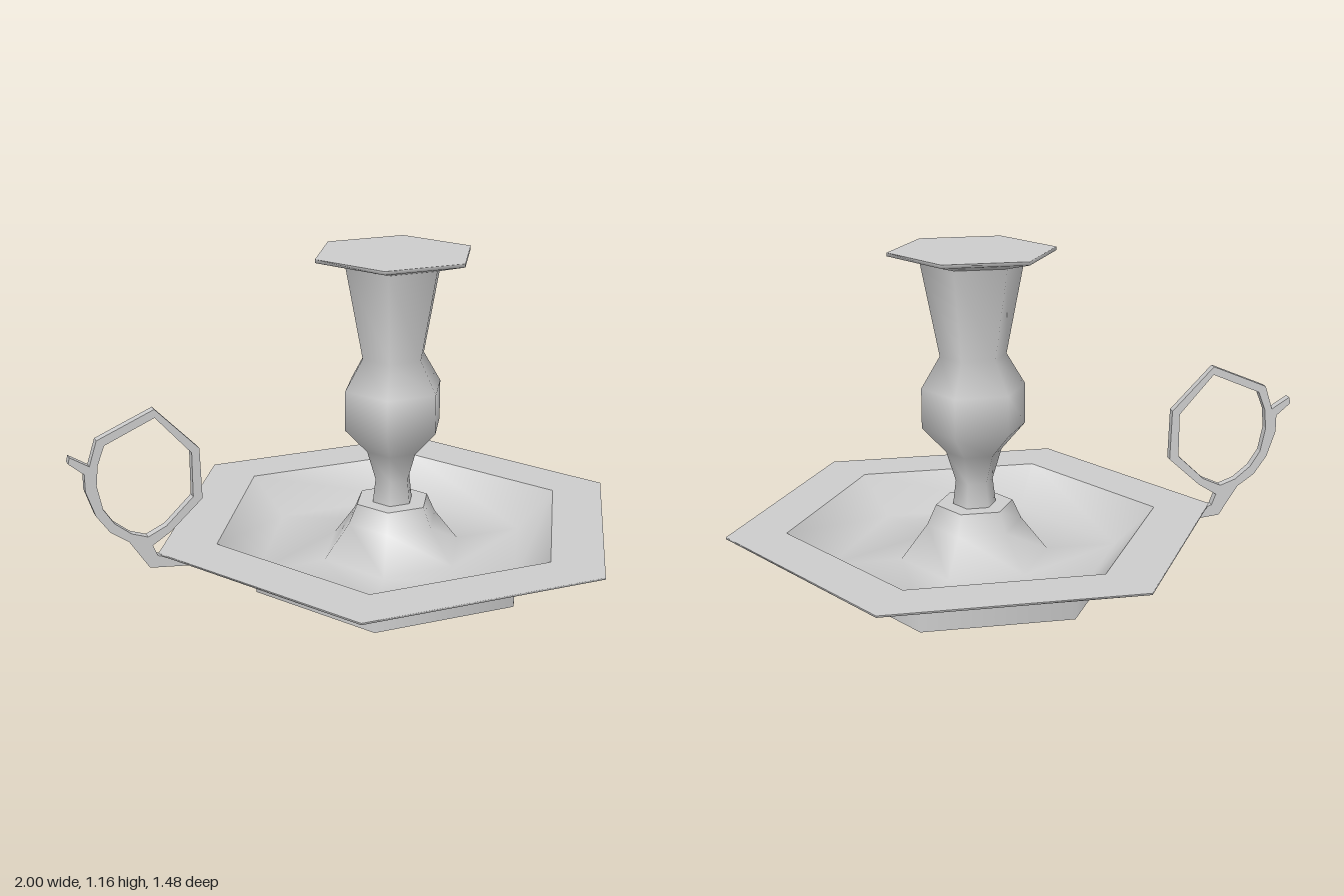
import * as THREE from 'three';

const material = new THREE.MeshStandardMaterial({ color: 0xcccccc, side: THREE.DoubleSide });
const AXIS_X = 0.143;

// Six-sided turned surface with corners on the x axis; profile is [radius, height], outside going up
function hexLathe(name, profile) {
  const points = profile.map(([r, y]) => new THREE.Vector2(r, y));
  const mesh = new THREE.Mesh(new THREE.LatheGeometry(points, 6, Math.PI / 2), material);
  mesh.name = name;
  mesh.position.x = AXIS_X;
  return mesh;
}

const toPoints = (list) => list.map(([x, y]) => new THREE.Vector2(x, y));

// Flat finger ring with thumb spur and a foot tucked under the tray
function createHandle() {
  const shape = new THREE.Shape(toPoints([
    [-0.71, 0.717], [-0.905, 0.635], [-0.932, 0.55], [-0.995, 0.59], [-1, 0.568],
    [-0.95, 0.525], [-0.95, 0.465], [-0.92, 0.375], [-0.875, 0.31], [-0.815, 0.268],
    [-0.748, 0.163], [-0.56, 0.143], [-0.72, 0.203], [-0.735, 0.242],
    [-0.67, 0.283], [-0.558, 0.385], [-0.563, 0.563],
  ]));
  shape.holes.push(new THREE.Path(toPoints([
    [-0.71, 0.688], [-0.59, 0.55], [-0.59, 0.395], [-0.685, 0.305], [-0.75, 0.275],
    [-0.805, 0.295], [-0.86, 0.34], [-0.895, 0.395], [-0.912, 0.48], [-0.905, 0.55], [-0.88, 0.615],
  ])));
  const geometry = new THREE.ExtrudeGeometry(shape, { depth: 0.03, bevelEnabled: false });
  geometry.translate(0, 0, -0.015);
  const mesh = new THREE.Mesh(geometry, material);
  mesh.name = 'fingerRingHandle';
  return mesh;
}

export function createModel() {
  const group = new THREE.Group();
  group.name = 'chamberstick';

  // Tray: hollow foot, flared underside, flat rim and sunken well rising to the stem
  group.add(
    hexLathe('trayFoot', [[0.515, 0], [0.515, 0.07]]),
    hexLathe('trayUnderside', [[0.515, 0.07], [0.857, 0.198], [0.857, 0.204]]),
    hexLathe('trayRim', [[0.857, 0.204], [0.652, 0.204]]),
    hexLathe('trayWell', [[0.652, 0.204], [0.51, 0.075], [0.26, 0.078], [0.167, 0.2], [0.135, 0.27]]),
  );

  // Stem: collar, waist, bulb and flaring socket
  group.add(
    hexLathe('stemCollar', [[0.135, 0.27], [0.075, 0.27]]),
    hexLathe('stem', [
      [0.075, 0.27], [0.065, 0.355], [0.097, 0.46], [0.18, 0.55],
      [0.18, 0.69], [0.115, 0.8], [0.177, 1.12],
    ]),
  );

  // Drip plate
  group.add(
    hexLathe('dripPlateUnderside', [[0.177, 1.12], [0.286, 1.148], [0.286, 1.16]]),
    hexLathe('dripPlateTop', [[0.286, 1.16], [0, 1.16]]),
  );

  group.add(createHandle());
  return group;
}
